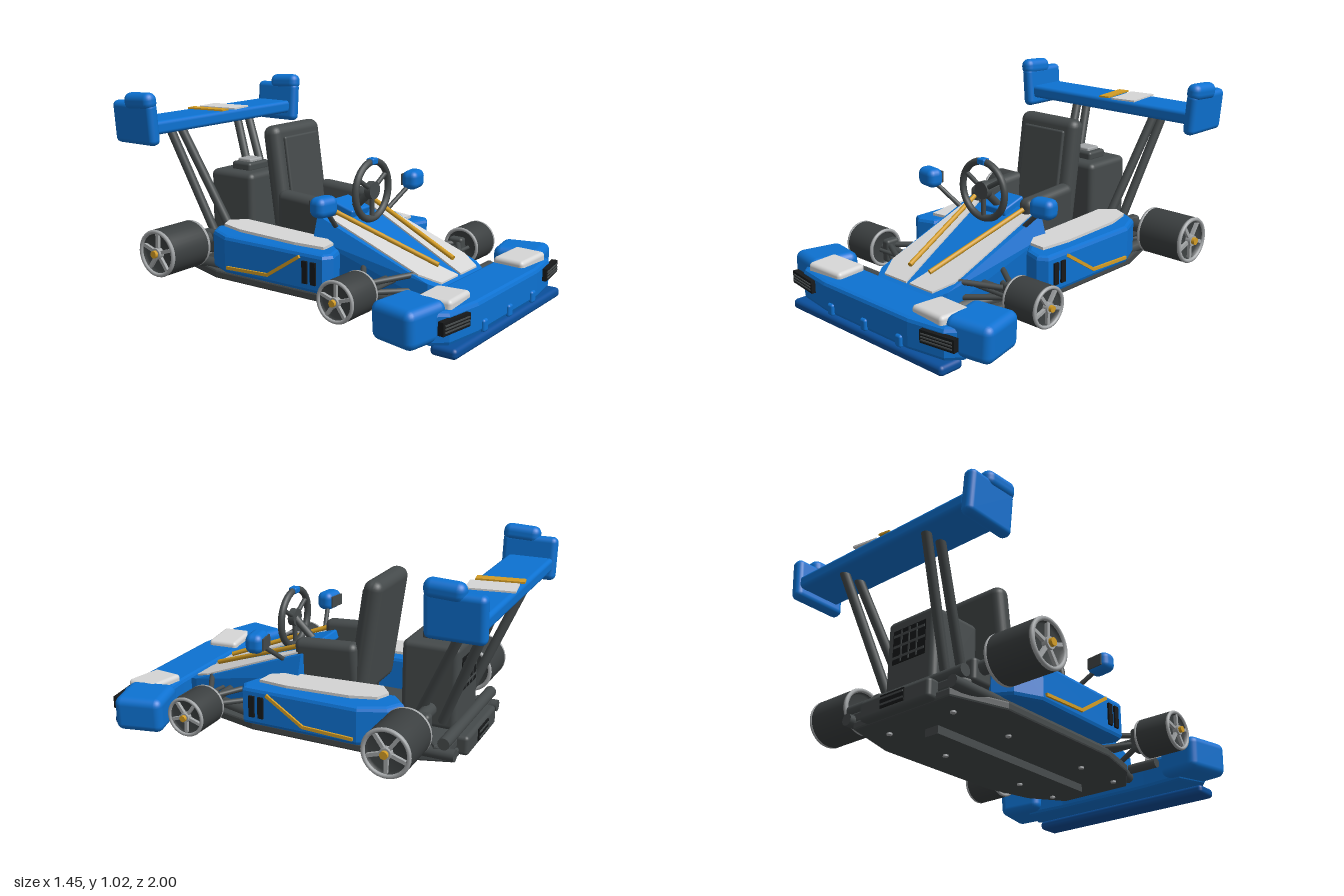
import * as THREE from 'three';
import { RoundedBoxGeometry } from 'three/addons/geometries/RoundedBoxGeometry.js';
import { ConvexGeometry } from 'three/addons/geometries/ConvexGeometry.js';

const paint = (name, color) => {
  const m = new THREE.MeshStandardMaterial({ color });
  m.name = name;
  return m;
};

export function createModel() {
  const kart = new THREE.Group();
  kart.name = 'racingKart';
  const blue = paint('blue', 0x0d72d2), deepBlue = paint('deepBlue', 0x0b4f9c);
  const white = paint('white', 0xd6d6d6), gold = paint('gold', 0xd39c24);
  const charcoal = paint('charcoal', 0x454a4b), tyreGrey = paint('tyreGrey', 0x3b3f40);
  const silver = paint('silver', 0xa3a6a8), black = paint('black', 0x17191a);

  const add = (name, geo, mat, pos = [0, 0, 0], rot = [0, 0, 0], parent = kart) => {
    const mesh = new THREE.Mesh(geo, mat);
    mesh.name = name;
    mesh.position.set(...pos);
    mesh.rotation.set(...rot);
    parent.add(mesh);
    return mesh;
  };
  const box = (name, size, mat, pos, rot, parent) => add(name, new THREE.BoxGeometry(...size), mat, pos, rot, parent);
  const soft = (name, size, r, mat, pos, rot, parent) =>
    add(name, new RoundedBoxGeometry(...size, 3, r), mat, pos, rot, parent);
  // Straight round bar between two points
  const rod = (name, a, b, r, mat, parent = kart) => {
    const p = new THREE.Vector3(...a), d = new THREE.Vector3(...b).sub(p);
    const mesh = add(name, new THREE.CylinderGeometry(r, r, d.length(), 14), mat, [0, 0, 0], [0, 0, 0], parent);
    mesh.position.copy(p).addScaledVector(d, 0.5);
    mesh.quaternion.setFromUnitVectors(new THREE.Vector3(0, 1, 0), d.normalize());
    return mesh;
  };
  // Horizontal slab from an x,z outline; lift(z) raises it along a slope
  const slab = (name, pts, bottom, top, mat, bevel = 0, lift = null) => {
    const shape = new THREE.Shape(pts.map(p => new THREE.Vector2(...p)));
    const geo = new THREE.ExtrudeGeometry(shape, {
      depth: top - bottom - 2 * bevel, bevelEnabled: bevel > 0, bevelSize: bevel,
      bevelOffset: -bevel, bevelThickness: bevel, bevelSegments: 2 });
    geo.rotateX(Math.PI / 2).translate(0, top - bevel, 0);
    if (lift) {
      const p = geo.attributes.position;
      for (let i = 0; i < p.count; i++) p.setY(i, p.getY(i) + lift(p.getZ(i)));
      geo.computeVertexNormals();
    }
    return add(name, geo, mat);
  };
  const mirror = half => [...half, ...half.map(([x, z]) => [-x, z]).reverse()];
  const noseTop = z => 0.43 - 0.377 * (z - 0.08);

  // Floor pan, keel and bolts
  slab('floorPan', mirror([[0.2, 0.68], [0.33, 0.5], [0.39, 0.25], [0.39, -0.5], [0.3, -0.78]]), 0.055, 0.1, charcoal, 0.01);
  box('keel', [0.08, 0.05, 1.08], charcoal, [0, 0.04, -0.04]);
  for (const s of [-1, 1]) for (const z of [0.56, 0.28, -0.28, -0.65])
    add('floorBolt', new THREE.CylinderGeometry(0.014, 0.014, 0.012, 12), silver, [s * 0.2, 0.052, z]);

  // Rear deck and bumper
  slab('rearDeck', mirror([[0.24, -0.2], [0.24, -0.6], [0.35, -0.7], [0.33, -0.77]]), 0.1, 0.15, charcoal, 0.01);
  rod('rearBumperBar', [-0.36, 0.17, -0.75], [0.36, 0.17, -0.75], 0.03, charcoal);
  soft('rearDiffuser', [0.44, 0.1, 0.09], 0.02, charcoal, [0, 0.11, -0.78]);
  box('rearGrille', [0.15, 0.06, 0.008], black, [0, 0.115, -0.828]);
  for (const y of [0.1, 0.13]) box('rearGrilleSlat', [0.14, 0.008, 0.01], charcoal, [0, y, -0.831]);

  // Nose cowl
  const nosePts = [];
  for (const s of [-1, 1]) for (const [x, y, z] of [[0.24, 0.44, 0.05], [0.275, 0.33, 0.05], [0.25, 0.13, 0.05],
    [0.21, 0.384, 0.2], [0.245, 0.32, 0.2], [0.235, 0.204, 0.68], [0.235, 0.12, 0.68], [0.18, 0.175, 0.76], [0.18, 0.1, 0.76]])
    nosePts.push(new THREE.Vector3(s * x, y, z));
  add('noseCowl', new ConvexGeometry(nosePts), blue);
  for (const s of [-1, 1]) {
    slab('nosePanel', [[0.15, 0.07], [0.21, 0.07], [0.215, 0.3], [0.222, 0.62], [0.17, 0.715], [0.012, 0.715], [0.06, 0.5]]
      .map(([x, z]) => [s * x, z]), 0.002, 0.011, white, 0, noseTop);
    rod('noseTrim', [s * 0.17, 0.455, 0.105], [s * 0.07, 0.25, 0.64], 0.012, gold);
  }
  soft('dashPod', [0.16, 0.05, 0.15], 0.01, blue, [0, 0.44, 0.07], [0.3, 0, 0]);

  // Front bumper and splitter
  slab('bumperBar', mirror([[0.27, 0.74], [0.5, 0.72], [0.56, 0.88], [0.5, 0.95], [0.3, 0.98]]), 0.045, 0.2, blue, 0.02);
  soft('splitter', [1.07, 0.05, 0.13], 0.02, deepBlue, [0, 0.025, 0.935]);
  for (const x of [-0.245, 0, 0.245]) soft('splitterClip', [0.042, 0.06, 0.03], 0.012, blue, [x, 0.075, 0.978]);

  // Lathe profile used by every tyre, scaled to its radius and width
  const tyre = (r, w) => new THREE.LatheGeometry([[0, -0.42], [0.78, -0.42], [0.82, -0.5], [0.95, -0.5], [1, -0.45],
    [1, 0.45], [0.95, 0.5], [0.82, 0.5], [0.78, 0.42], [0, 0.42]].map(([a, b]) => new THREE.Vector2(a * r, b * w)), 36);
  const wheel = (name, s, x, y, z, r, w) => {
    const g = new THREE.Group();
    g.name = name;
    g.position.set(s * x, y, z);
    g.rotation.z = -s * Math.PI / 2;
    kart.add(g);
    add('tyre', tyre(r, w), tyreGrey, [0, 0, 0], [0, 0, 0], g);
    for (const e of [-1, 1])
      add('rimRing', new THREE.TorusGeometry(r * 0.92, r * 0.09, 8, 36), silver, [0, e * w * 0.5, 0], [Math.PI / 2, 0, 0], g);
    for (let i = 0; i < 5; i++) {
      const a = i * Math.PI * 0.4;
      box('spoke', [r * 0.8, 0.016, r * 0.15], silver, [Math.cos(a) * r * 0.48, w * 0.47, Math.sin(a) * r * 0.48], [0, -a, 0], g);
    }
    add('hub', new THREE.CylinderGeometry(r * 0.24, r * 0.24, 0.03, 18), silver, [0, w * 0.49, 0], [0, 0, 0], g);
    add('hubCap', new THREE.CylinderGeometry(r * 0.16, r * 0.16, 0.03, 14), gold, [0, w * 0.5 + 0.014, 0], [0, 0, 0], g);
  };

  for (const s of [-1, 1]) {
    const flip = pts => pts.map(([x, z]) => [s * x, z]);
    // Bumper corners, pads and vents
    soft('bumperCorner', [0.24, 0.18, 0.25], 0.04, blue, [s * 0.55, 0.145, 0.775], [0, s * 0.23, -s * 0.05]);
    soft('bumperPad', [0.22, 0.06, 0.17], 0.02, white, [s * 0.375, 0.205, 0.845], [0, s * -0.1, s * 0.05]);
    const vent = new THREE.Group();
    vent.name = 'bumperVent';
    vent.position.set(s * 0.48, 0.145, 0.96);
    vent.rotation.y = s * 0.14;
    kart.add(vent);
    box('ventPlate', [0.19, 0.062, 0.03], black, [0, 0, 0], [0, 0, 0], vent);
    for (const y of [-0.015, 0, 0.015]) box('ventSlat', [0.17, 0.006, 0.01], charcoal, [0, y, 0.015], [0, 0, 0], vent);

    // Side pod with top panel, slots and side stripe
    slab('sidePod', flip([[0.235, -0.46], [0.32, -0.54], [0.41, -0.49], [0.47, -0.36], [0.47, 0.25], [0.42, 0.28], [0.33, 0.25], [0.235, 0.12]]),
      0.125, 0.32, blue, 0.02);
    slab('podPanel', flip([[0.245, -0.4], [0.32, -0.46], [0.39, -0.43], [0.42, -0.3], [0.415, 0.04], [0.39, 0.2], [0.3, 0.19], [0.245, 0.1]]),
      0.32, 0.334, white, 0, z => 0.009 - 0.035 * z);
    for (const z of [0.15, 0.2]) box('podSlot', [0.02, 0.11, 0.03], black, [s * 0.47, 0.225, z]);
    const stripe = [[0.115, 0.295], [-0.08, 0.17], [-0.34, 0.16]];
    for (let i = 0; i < 2; i++) {
      const [z0, y0] = stripe[i], [z1, y1] = stripe[i + 1];
      box('podStripe', [0.018, 0.016, Math.hypot(z1 - z0, y1 - y0) + 0.008], gold,
        [s * 0.472, (y0 + y1) / 2, (z0 + z1) / 2], [-Math.atan2(y1 - y0, z1 - z0), 0, 0]);
    }

    // Wheels, suspension and frame rails
    wheel('frontWheel', s, 0.565, 0.19, 0.462, 0.1, 0.185);
    wheel('rearWheel', s, 0.57, 0.24, -0.605, 0.12, 0.25);
    for (const y of [0.15, 0.23]) for (const z of [0.3, 0.6])
      rod('wishbone', [s * 0.2, y, z], [s * 0.44, 0.1 + y * 0.5, 0.46], 0.014, charcoal);
    rod('steeringRod', [s * 0.18, 0.19, 0.5], [s * 0.44, 0.2, 0.52], 0.01, charcoal);
    rod('frontAxle', [s * 0.2, 0.19, 0.46], [s * 0.5, 0.19, 0.46], 0.02, charcoal);
    soft('knuckle', [0.05, 0.12, 0.08], 0.015, charcoal, [s * 0.43, 0.19, 0.46]);
    rod('frontCrossBar', [s * 0.1, 0.14, 0.67], [s * 0.4, 0.14, 0.67], 0.025, charcoal);
    rod('frameRail', [s * 0.33, 0.11, 0.25], [s * 0.33, 0.11, -0.8], 0.03, charcoal);
    rod('frameRailFront', [s * 0.33, 0.11, 0.25], [s * 0.2, 0.11, 0.7], 0.03, charcoal);
    soft('axleBearing', [0.06, 0.12, 0.12], 0.02, charcoal, [s * 0.3, 0.22, -0.605]);

    // Mirror
    soft('mirror', [0.13, 0.1, 0.09], 0.035, blue, [s * 0.396, 0.535, 0.205], [0, s * 0.15, 0]);
    box('mirrorGlass', [0.09, 0.06, 0.008], charcoal, [s * 0.39, 0.535, 0.158], [0, s * 0.15, 0]);
    rod('mirrorStalk', [s * 0.22, 0.39, 0.15], [s * 0.37, 0.51, 0.2], 0.012, charcoal);

    // Seat bolster
    soft('seatBolster', [0.085, 0.27, 0.34], 0.035, charcoal, [s * 0.165, 0.38, -0.07], [0.06, 0, -s * 0.08]);

    // Wing struts and end plates
    rod('wingStrut', [s * 0.17, 0.2, -0.55], [s * 0.272, 0.81, -0.84], 0.024, charcoal);
    rod('wingStrut', [s * 0.18, 0.2, -0.68], [s * 0.272, 0.81, -0.93], 0.024, charcoal);
    soft('endPlate', [0.065, 0.22, 0.28], 0.028, blue, [s * 0.567, 0.86, -0.855], [0, 0, -s * 0.08]);
    soft('endPlateCap', [0.08, 0.09, 0.19], 0.038, blue, [s * 0.578, 0.973, -0.808], [-0.05, 0, -s * 0.08]);
  }
  rod('rearAxle', [-0.46, 0.24, -0.605], [0.46, 0.24, -0.605], 0.035, charcoal);

  // Seat
  soft('seatCushion', [0.3, 0.24, 0.28], 0.04, charcoal, [0, 0.26, -0.08]);
  soft('seatBack', [0.38, 0.6, 0.1], 0.045, charcoal, [0, 0.545, -0.265], [-0.14, 0, 0]);
  soft('seatBackPad', [0.27, 0.42, 0.02], 0.01, charcoal, [0, 0.58, -0.214], [-0.14, 0, 0]);

  // Steering wheel
  const steering = new THREE.Group();
  steering.name = 'steeringWheel';
  steering.position.set(0, 0.545, 0.21);
  kart.add(steering);
  add('wheelRim', new THREE.TorusGeometry(0.145, 0.018, 12, 40), charcoal, [0, 0, 0], [0, 0, 0], steering);
  add('wheelHub', new THREE.CylinderGeometry(0.045, 0.045, 0.035, 24), charcoal, [0, 0, 0], [Math.PI / 2, 0, 0], steering);
  for (const a of [Math.PI / 6, Math.PI * 5 / 6, -Math.PI / 2])
    rod('wheelSpoke', [0, 0, 0], [Math.cos(a) * 0.14, Math.sin(a) * 0.14, 0], 0.012, charcoal, steering);
  soft('wheelMarker', [0.05, 0.032, 0.044], 0.008, blue, [0, 0.147, 0], [0, 0, 0], steering);
  rod('steeringColumn', [0, 0.545, 0.21], [0, 0.43, 0.09], 0.02, charcoal);

  // Engine
  soft('engineBlock', [0.31, 0.43, 0.29], 0.03, charcoal, [0, 0.355, -0.595]);
  soft('engineCap', [0.16, 0.05, 0.13], 0.015, charcoal, [0, 0.585, -0.59]);
  soft('fillerCap', [0.1, 0.025, 0.09], 0.008, silver, [0, 0.613, -0.59]);
  box('engineGrille', [0.21, 0.17, 0.008], black, [0, 0.42, -0.741]);
  for (const y of [0.365, 0.42, 0.475]) box('grilleSlat', [0.2, 0.012, 0.01], charcoal, [0, y, -0.743]);
  for (const x of [-0.05, 0, 0.05]) box('grilleRib', [0.008, 0.16, 0.01], charcoal, [x, 0.42, -0.743]);

  // Rear wing
  soft('wingPlane', [1.1, 0.07, 0.235], 0.02, blue, [0, 0.833, -0.865]);
  box('wingStripeGold', [0.06, 0.009, 0.23], gold, [-0.03, 0.872, -0.865], [0, 0.15, 0]);
  box('wingStripeWhite', [0.14, 0.009, 0.23], white, [0.1, 0.872, -0.865], [0, 0.15, 0]);

  return kart;
}
